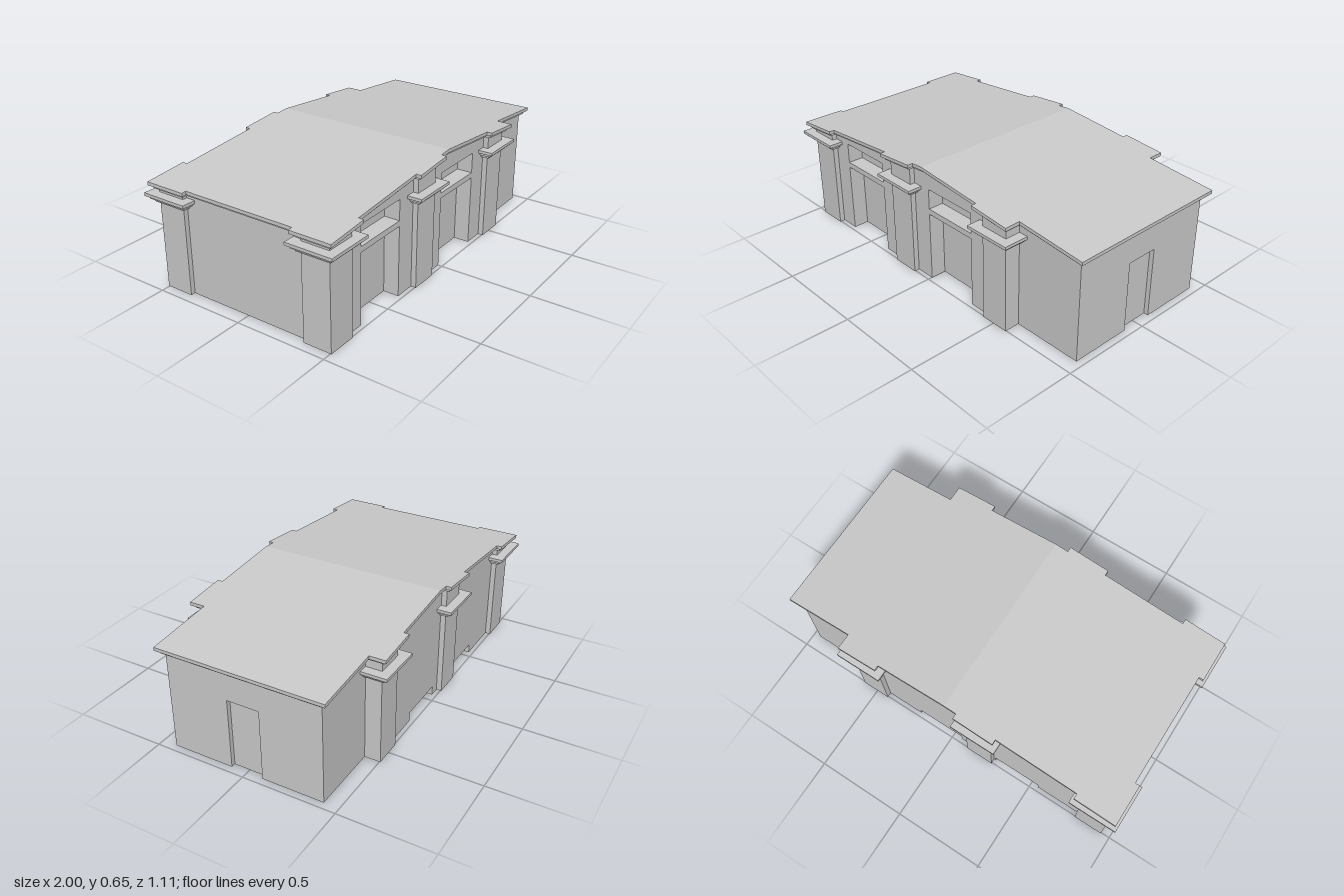
import * as THREE from 'three';

const material = new THREE.MeshStandardMaterial({ color: 0xcccccc, flatShading: true });
const PILASTERS = [[-0.95, -0.79], [-0.26, -0.105], [0.43, 0.585]];
const PIER_Z = 0.505, PIER_IN = 0.35, WALL_Z = 0.477, END_Z = 0.42;
const LEFT = -0.925, RIGHT = 0.963;

const roofY = x => 0.655 - 0.086 * Math.abs(x);

// One long side as stepped [x, z] points, grown by o, clipped to lo..hi, with cuts [x0, x1, depth]
function longSide(o, lo, hi, cuts) {
  const [p, q, r] = PILASTERS;
  const steps = [
    [p[0] - o, p[1] + o, PIER_Z + o], [p[1] + o, q[0] - o, WALL_Z + o],
    [q[0] - o, q[1] + o, PIER_Z + o], [q[1] + o, r[0] - o, WALL_Z + o],
    [r[0] - o, r[1] + o, PIER_Z + o], [r[1] + o, RIGHT + o, END_Z + o],
  ];
  const pts = [];
  for (const [a, b, z] of steps) {
    const x0 = Math.max(a, lo), x1 = Math.min(b, hi);
    if (x0 >= x1) continue;
    pts.push([x0, z]);
    for (const [c, d, depth] of cuts) {
      if (c > x0 && d < x1) pts.push([c, z], [c, z - depth], [d, z - depth], [d, z]);
    }
    pts.push([x1, z]);
  }
  return pts;
}

// Floor plan extruded one unit up, then its height is set by bottom(x) and top(x)
function course(name, bottom, top, { o = 0, lo = -2, hi = 2, front = [], back = [], door = false } = {}) {
  const pts = longSide(o, lo, hi, front);
  if (door) pts.push([RIGHT, 0.087], [RIGHT - 0.024, 0.087], [RIGHT - 0.024, -0.087], [RIGHT, -0.087]);
  pts.push(...longSide(o, lo, hi, back).reverse().map(([x, z]) => [x, -z]));
  if (lo < LEFT) {
    // Corner piers stand out from the left wall
    const x0 = PILASTERS[0][0] - o, x1 = LEFT - o, z = PIER_IN - o;
    pts.push([x0, -z], [x1, -z], [x1, z], [x0, z]);
  }
  const shape = new THREE.Shape(pts.map(([x, z]) => new THREE.Vector2(x, -z)));
  const geo = new THREE.ExtrudeGeometry(shape, { depth: 1, bevelEnabled: false });
  geo.rotateX(-Math.PI / 2);
  const pos = geo.attributes.position;
  for (let i = 0; i < pos.count; i++) {
    const x = pos.getX(i);
    pos.setY(i, pos.getY(i) > 0.5 ? top(x) : bottom(x));
  }
  geo.computeVertexNormals();
  const mesh = new THREE.Mesh(geo, material);
  mesh.name = name;
  return mesh;
}

function box(name, x0, x1, y0, y1, z0, z1) {
  const mesh = new THREE.Mesh(new THREE.BoxGeometry(x1 - x0, y1 - y0, z1 - z0), material);
  mesh.position.set((x0 + x1) / 2, (y0 + y1) / 2, (z0 + z1) / 2);
  mesh.name = name;
  return mesh;
}

export function createModel() {
  const model = new THREE.Group();
  model.name = 'building';
  const at = y => () => y;

  // Walls in level courses, each with the openings found at that height
  const front = [[-0.685, -0.375, 0.085], [0.003, 0.315, 0.085]];
  const back = [[-0.54, -0.27, 0.04], [-0.05, 0.22, 0.04]];
  model.add(
    course('baseWalls', at(0), at(0.05), { front, back, door: true }),
    course('lowerWalls', at(0.05), at(0.38), { front, door: true }),
    course('middleWalls', at(0.38), at(0.52), { front }),
  );

  // Gabled wall tops and the two stepped roof layers, one half per slope
  for (const [side, lo, hi] of [['right', -2, 0], ['left', 0, 2]]) {
    model.add(
      course(side + 'UpperWalls', at(0.52), x => roofY(x) - 0.03, { lo, hi }),
      course(side + 'Cornice', x => roofY(x) - 0.036, x => roofY(x) - 0.018, { lo, hi, o: 0.018 }),
      course(side + 'Roof', x => roofY(x) - 0.018, roofY, { lo, hi, o: 0.036 }),
    );
  }

  // Bars between the doorways and the windows above them
  for (const [x0, x1] of front) {
    model.add(box('doorLintel', x0, x1, 0.38, 0.41, WALL_Z - 0.09, WALL_Z));
  }

  // Three-stepped capitals around the piers, front and back
  for (const [x0, x1] of PILASTERS) {
    for (const s of [1, -1]) {
      const capital = new THREE.Group();
      capital.name = s > 0 ? 'frontCapital' : 'backCapital';
      for (let i = 0; i < 3; i++) {
        const o = (i + 1) * 0.0167, y = 0.467 + i * 0.016;
        const z = [s * (PIER_IN - o), s * (PIER_Z + o)].sort((a, b) => a - b);
        capital.add(box('capitalStep', x0 - o, x1 + o, y, y + 0.016, z[0], z[1]));
      }
      model.add(capital);
    }
  }
  return model;
}
